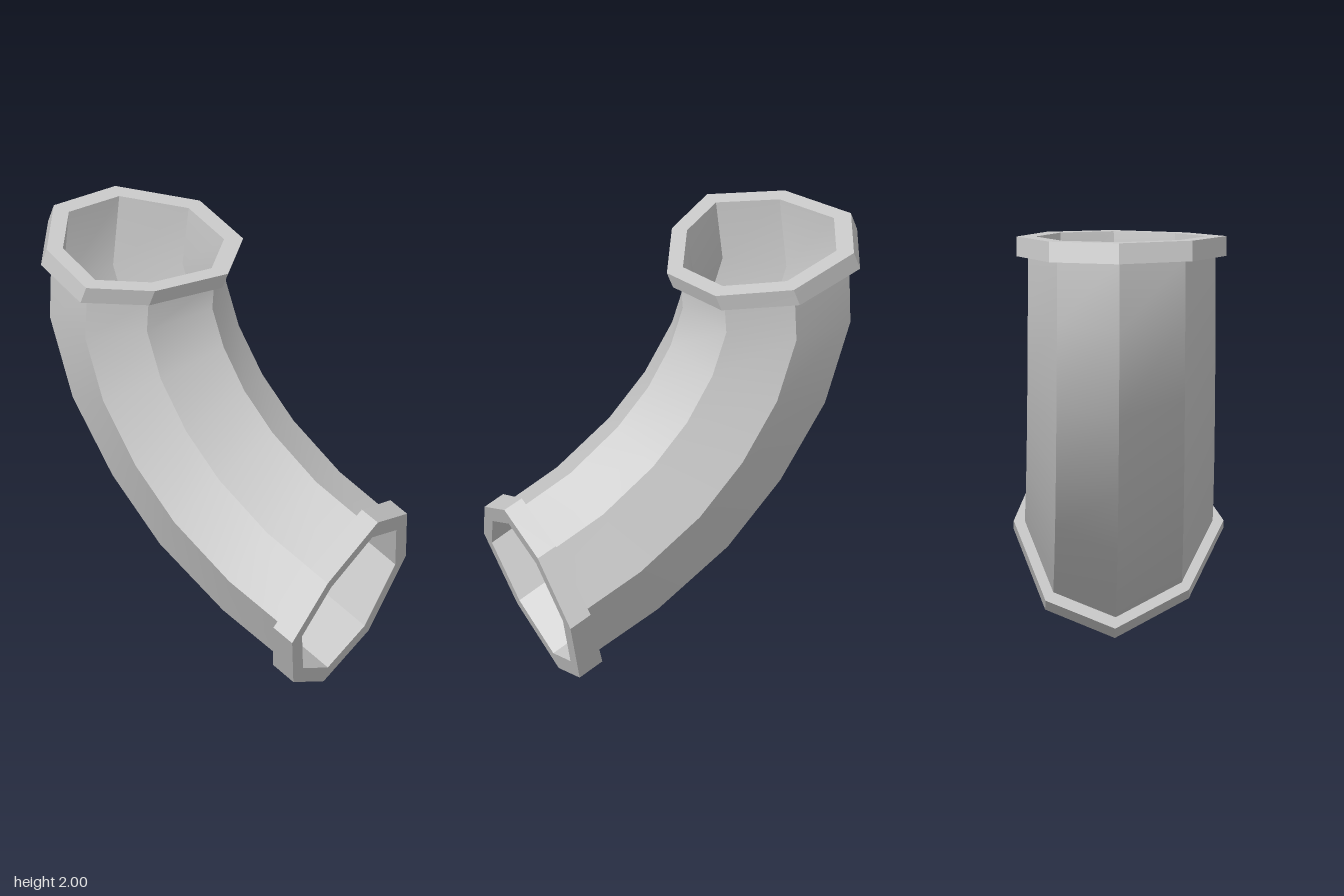
import * as THREE from 'three';
import { toCreasedNormals } from 'three/addons/utils/BufferGeometryUtils.js';

// Uneven octagonal section: [across the bend (-0.485 outside .. 0.455 inside), z]
const SECTION = [
  [0.015, -0.47], [0.345, -0.33], [0.455, -0.04], [0.275, 0.29],
  [0.015, 0.465], [-0.305, 0.31], [-0.485, -0.02], [-0.355, -0.33],
];
const WALL = 0.895;  // pipe size relative to the collars
const BORE = 0.82;   // bore size relative to the collars

// Ring of points spanning from the outside of the bend (ax, ay) to the inside (bx, by)
function ring([ax, ay, bx, by], zScale, shrink = 1) {
  const mx = (ax + bx) / 2, my = (ay + by) / 2;
  return SECTION.map(([u, z]) => {
    const t = ((u + 0.485) / 0.94 - 0.5) * shrink;
    return [mx + (bx - ax) * t, my + (by - ay) * t, z * zScale];
  });
}

// Skin consecutive rings; creases stay sharp around the section, smooth along the bend
function loft(name, rings, material) {
  const pos = [];
  const n = SECTION.length;
  for (let i = 0; i < rings.length - 1; i++) {
    for (let j = 0; j < n; j++) {
      const k = (j + 1) % n;
      const a = rings[i][j], b = rings[i][k], c = rings[i + 1][j], d = rings[i + 1][k];
      pos.push(...a, ...b, ...d, ...a, ...d, ...c);
    }
  }
  const geometry = new THREE.BufferGeometry();
  geometry.setAttribute('position', new THREE.Float32BufferAttribute(pos, 3));
  const mesh = new THREE.Mesh(toCreasedNormals(geometry, 0.43), material);
  mesh.name = name;
  return mesh;
}

export function createModel() {
  const group = new THREE.Group();
  group.name = 'pipeElbow';
  const material = new THREE.MeshStandardMaterial({ color: 0xcccccc });

  // Bend stations from top to bottom: outside x, y, inside x, y
  const stations = [
    [-0.82, 1.92, 0.0, 1.85],
    [-0.825, 1.6, -0.01, 1.72],
    [-0.69, 1.18, 0.05, 1.54],
    [-0.455, 0.81, 0.16, 1.35],
    [-0.18, 0.51, 0.31, 1.18],
    [0.18, 0.26, 0.54, 1.0],
    [0.51, 0.1, 0.77, 0.885],
  ];
  // Collar faces: open end and pipe side
  const topFace = [-0.84, 2.0, 0.07, 1.92], topBack = [-0.87, 1.91, 0.04, 1.84];
  const endFace = [0.59, 0.0, 0.865, 0.89], endBack = [0.475, 0.06, 0.78, 0.93];

  // Outer skin of the bend
  group.add(loft('pipeWall', stations.map((s) => ring(s, WALL)), material));

  // Bore, skinned upwards so that it faces inwards
  const bore = [
    ring(topFace, BORE, BORE),
    ...stations.slice(1, -1).map((s) => ring(s, BORE, BORE / WALL)),
    ring(endFace, BORE, BORE),
  ].reverse();
  group.add(loft('pipeBore', bore, material));

  // Collars: end lip, rim and the step down to the pipe
  group.add(loft('topCollar', [
    ring(topFace, BORE, BORE), ring(topFace, 1), ring(topBack, 1), ring(topBack, BORE, BORE),
  ], material));
  group.add(loft('lowerCollar', [
    ring(endBack, BORE, BORE), ring(endBack, 1), ring(endFace, 1), ring(endFace, BORE, BORE),
  ], material));

  return group;
}
